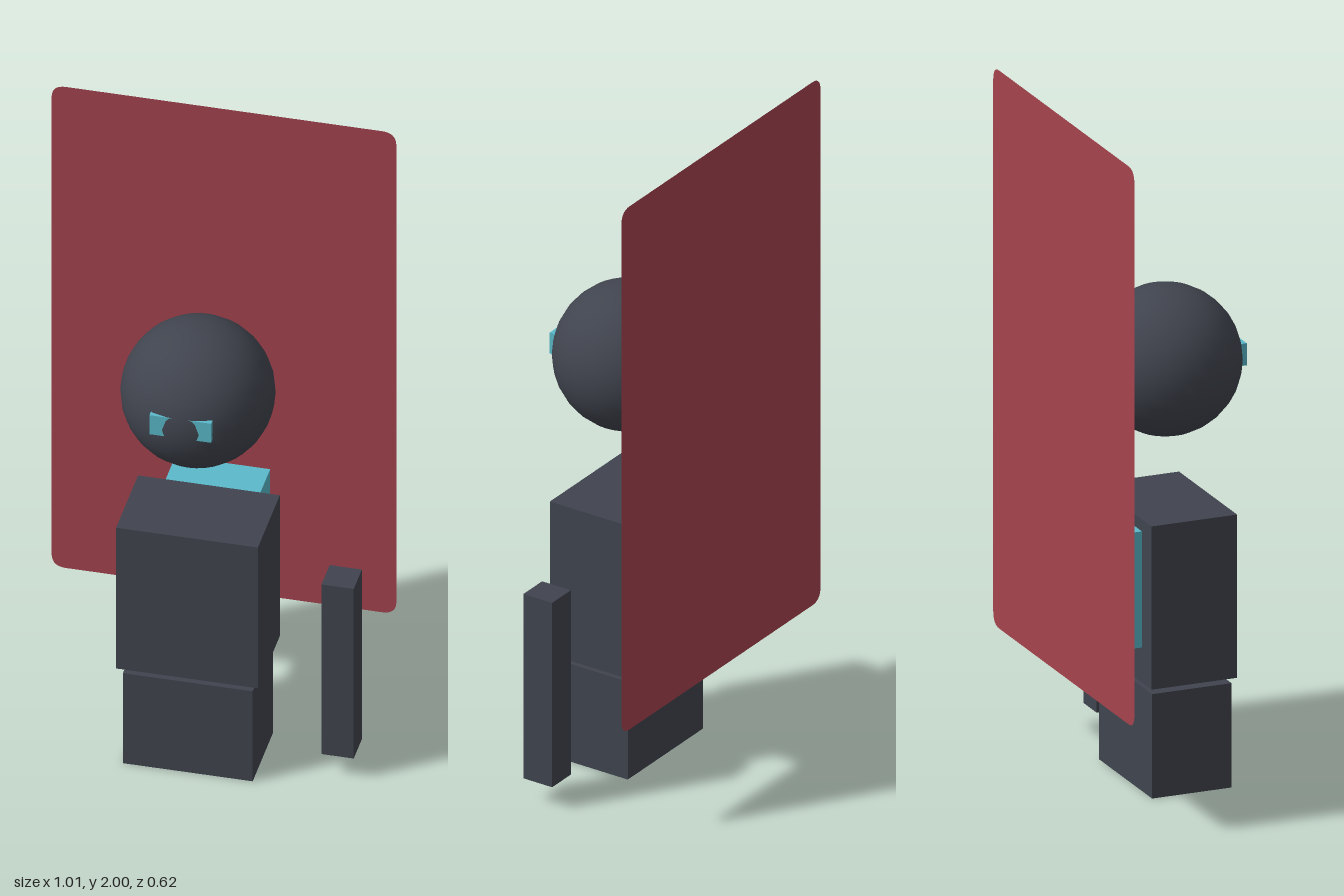
import * as THREE from 'three';

export function createModel() {
  const charcoal = new THREE.MeshStandardMaterial({ color: 0x40444e });
  charcoal.name = 'charcoal';
  const cyan = new THREE.MeshStandardMaterial({ color: 0x5ab9ca });
  cyan.name = 'cyan';
  const crimson = new THREE.MeshStandardMaterial({ color: 0xa5434e, side: THREE.DoubleSide });
  crimson.name = 'crimson';

  const model = new THREE.Group();
  model.name = 'capedFigure';

  // The whole figure is turned slightly to its left
  const figure = new THREE.Group();
  figure.name = 'figure';
  figure.rotation.y = THREE.MathUtils.degToRad(10);
  model.add(figure);

  const midX = 0.025, midZ = 0.089;

  function add(name, geometry, material, x, y, z) {
    const mesh = new THREE.Mesh(geometry, material);
    mesh.name = name;
    mesh.position.set(x, y, z);
    figure.add(mesh);
    return mesh;
  }
  const box = (name, material, w, h, d, x, y, z) =>
    add(name, new THREE.BoxGeometry(w, h, d), material, x, y, z);

  // Body blocks
  box('hips', charcoal, 0.378, 0.312, 0.245, midX, 0.156, midZ);
  box('torso', charcoal, 0.413, 0.488, 0.264, midX, 0.576, midZ);
  box('leftArm', charcoal, 0.094, 0.588, 0.098, 0.443, 0.367, 0.087);

  // Backpack against the back of the torso
  box('backpack', cyan, 0.276, 0.347, 0.171, midX, 0.6105, -0.1245);

  // Head with eye blocks sunk into its front
  add('head', new THREE.SphereGeometry(0.22, 32, 16), charcoal, midX, 1.239, midZ);
  for (const side of [-1, 1]) {
    box(side > 0 ? 'leftEye' : 'rightEye', cyan, 0.066, 0.066, 0.066,
      midX + side * 0.057, 1.252, 0.2685);
  }

  // Flat cape panel with rounded corners
  const w = 0.502, h = 0.834, r = 0.042;
  const cape = new THREE.Shape();
  cape.moveTo(-w + r, -h);
  cape.lineTo(w - r, -h);
  cape.quadraticCurveTo(w, -h, w, -h + r);
  cape.lineTo(w, h - r);
  cape.quadraticCurveTo(w, h, w - r, h);
  cape.lineTo(-w + r, h);
  cape.quadraticCurveTo(-w, h, -w, h - r);
  cape.lineTo(-w, -h + r);
  cape.quadraticCurveTo(-w, -h, -w + r, -h);
  add('cape', new THREE.ShapeGeometry(cape, 8), crimson, midX, 1.166, -0.224);

  return model;
}
